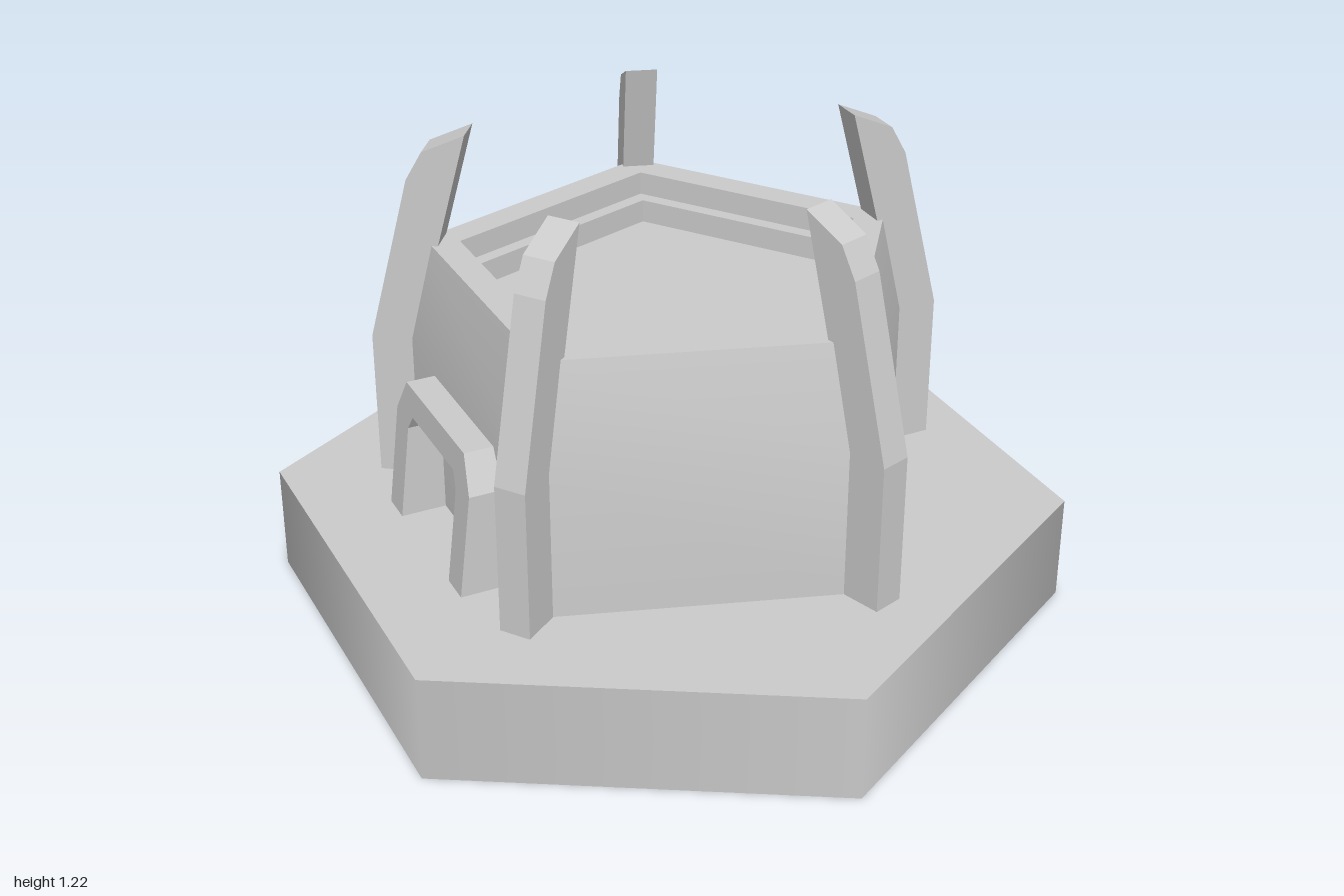
import * as THREE from 'three';
import { toCreasedNormals } from 'three/addons/utils/BufferGeometryUtils.js';

const BASE_TOP = 0.275;

export function createModel() {
  const model = new THREE.Group();
  const material = new THREE.MeshStandardMaterial({ color: 0xcccccc });
  const add = (name, geometry) => {
    const mesh = new THREE.Mesh(geometry, material);
    mesh.name = name;
    model.add(mesh);
    return mesh;
  };
  const shapeOf = (points) => new THREE.Shape(points.map(([x, y]) => new THREE.Vector2(x, y)));

  // Hexagonal foundation slab, softly shaded around its sides
  add('base', new THREE.CylinderGeometry(1, 1, BASE_TOP, 6).translate(0, BASE_TOP / 2, 0));

  // Five-sided tower: upright wall, inward lean, rim, stepped roof recess
  const profile = [
    [0.668, BASE_TOP - 0.01], [0.668, 0.66], [0.605, 0.92],
    [0.515, 0.92], [0.515, 0.86], [0.472, 0.86], [0.472, 0.8], [0, 0.8],
  ].map(([r, y]) => new THREE.Vector2(r, y));
  add('tower', toCreasedNormals(new THREE.LatheGeometry(profile, 5, Math.PI / 2), 0.5));

  // Curved buttress on every corner, rising past the rim
  const ribShape = shapeOf([
    [0.6, BASE_TOP], [0.742, BASE_TOP], [0.742, 0.66], [0.632, 1.09],
    [0.59, 1.165], [0.482, 1.215], [0.56, 0.92], [0.6, 0.66],
  ]);
  const ribGeometry = new THREE.ExtrudeGeometry(ribShape, { depth: 0.08, bevelEnabled: false });
  ribGeometry.translate(0, 0, -0.04);
  for (let i = 0; i < 5; i++) {
    add('buttress', ribGeometry).rotation.y = (i * Math.PI * 2) / 5;
  }

  // Doorway frame with cut corners on the right wall
  const half = [[0.16, BASE_TOP], [0.24, BASE_TOP], [0.24, 0.54], [0.19, 0.63]];
  const inner = [[0.16, 0.52], [0.135, 0.56]];
  const mirror = (pts) => pts.map(([u, y]) => [-u, y]).reverse();
  const frameShape = shapeOf([...half, ...mirror(half), ...mirror(inner).reverse(), ...inner.slice().reverse()]);
  const frame = new THREE.ExtrudeGeometry(frameShape, { depth: 0.146, bevelEnabled: false });
  frame.translate(0, 0, 0.51);
  // Lean the outer face back towards the wall
  const p = frame.attributes.position;
  for (let i = 0; i < p.count; i++) {
    if (p.getZ(i) > 0.6) p.setZ(i, 0.656 - 0.12 * (p.getY(i) - BASE_TOP));
  }
  frame.computeVertexNormals();
  add('doorFrame', frame.rotateY(-Math.PI / 2));

  return model;
}
